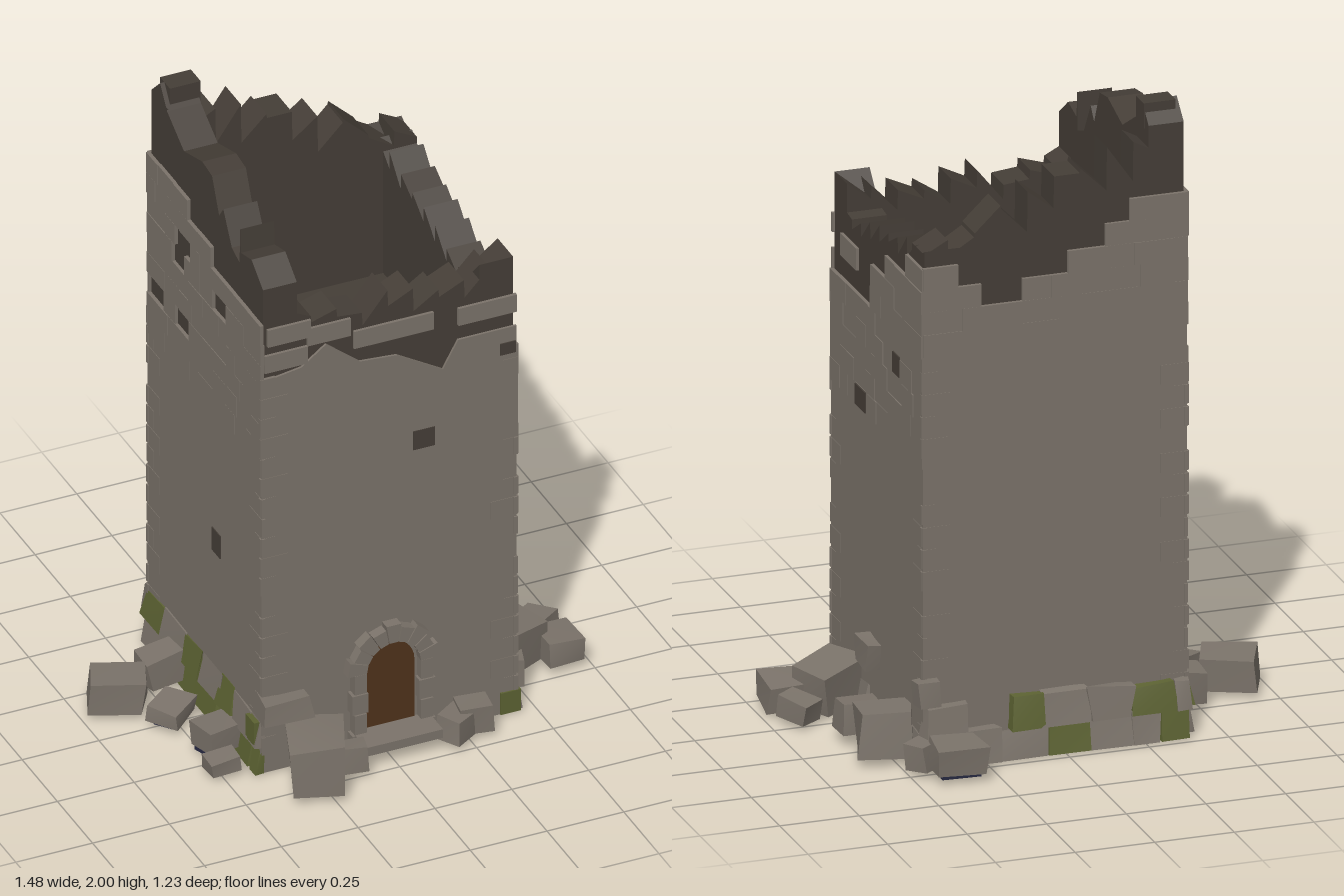
import * as THREE from 'three';

const flat = (name, color) => {
  const m = new THREE.MeshStandardMaterial({ color });
  m.name = name;
  return m;
};

export function createModel() {
  const stone = flat('paleStone', 0x7b736a);
  const dark = flat('darkStone', 0x453e37);
  const moss = flat('moss', 0x5c6232);
  const wood = flat('wood', 0x4f331b);
  const slate = flat('slate', 0x262840);
  const tower = new THREE.Group();
  tower.name = 'ruinedTower';

  let seed = 7;
  const rand = () => (seed = (seed * 16807) % 2147483647) / 2147483647;

  const add = (parent, name, geo, mat, x = 0, y = 0, z = 0) => {
    const m = new THREE.Mesh(geo, mat);
    m.name = name;
    m.position.set(x, y, z);
    parent.add(m);
    return m;
  };
  const box = (parent, name, mat, w, h, d, x, y, z) =>
    add(parent, name, new THREE.BoxGeometry(w, h, d), mat, x, y, z);
  const extrude = (pts, depth) => new THREE.ExtrudeGeometry(
    new THREE.Shape(pts.map(p => new THREE.Vector2(...p))), { depth, bevelEnabled: false });

  // Height along a list of [u, y] points
  const heightAt = (pts, u) => {
    for (let i = 1; i < pts.length; i++) {
      const [a, ya] = pts[i - 1], [b, yb] = pts[i];
      if (u <= b) return ya + (yb - ya) * (u - a) / (b - a);
    }
    return pts[pts.length - 1][1];
  };

  // Broken top: uneven slanted stones along a rough outline
  const teeth = (outline, size, lean) => {
    const u0 = outline[0][0], u1 = outline[outline.length - 1][0], n = 10, pts = [];
    for (let i = 0; i < n; i++) {
      const a = u0 + (u1 - u0) * i / n, b = u0 + (u1 - u0) * (i + 1) / n - 0.002;
      const rise = size * (rand() * 1.6 - 0.4) * lean, lift = size * (rand() - 0.5);
      pts.push([a, heightAt(outline, a) + lift - rise], [b, heightAt(outline, b) + lift + rise]);
    }
    pts[0][1] = outline[0][1];
    pts[pts.length - 1] = outline[outline.length - 1];
    return pts;
  };

  // Box whose corners are nudged, with the outer top edge pulled in
  const rough = (w, h, d, jitter, topBack = 0) => {
    const g = new THREE.BoxGeometry(w, h, d), p = g.attributes.position;
    const nudge = Array.from({ length: 24 }, () => (rand() - 0.5) * 2 * jitter);
    for (let i = 0; i < p.count; i++) {
      const x = p.getX(i), y = p.getY(i), z = p.getZ(i);
      const k = ((x > 0) + 2 * (y > 0) + 4 * (z > 0)) * 3;
      p.setXYZ(i, x + nudge[k] * w, y + (y > 0 ? nudge[k + 1] * h : 0),
        z + nudge[k + 2] * d - (y > 0 && z > 0 ? topBack : 0));
    }
    g.computeVertexNormals();
    return g;
  };

  // One wall, facing local +z: dark core, pale facing up to faceTop, then brick courses up to pale
  const wall = (name, x, z, turn, top, faceTop, pale) => {
    const g = new THREE.Group();
    g.name = name + 'Wall';
    g.position.set(x, 0, z);
    g.rotation.y = turn * Math.PI / 2;
    tower.add(g);
    const u0 = top[0][0], u1 = top[top.length - 1][0], inset = 0.008;
    // The core stops short of the neighbouring facings
    const core = [[u0, 0], [u1, 0], ...top.slice().reverse()]
      .map(([u, y]) => [Math.min(Math.max(u, u0 + inset), u1 - inset), y]);
    add(g, 'brokenCore', extrude(core, 0.11), dark, 0, 0, -0.118);
    add(g, 'facing', extrude([[u0, 0.005], [u1, 0.005], ...faceTop.slice().reverse()], inset), stone, 0, 0, -inset);
    const y0 = faceTop[0][1];
    for (let y = y0; pale && y < 1.8; y += 0.07) {
      for (let u = u0; u < u1 - 0.01;) {
        let len = 0.06 + rand() * 0.08;
        if (u1 - u - len < 0.04) len = u1 - u;
        const fits = y + 0.05 < heightAt(pale, u + len / 2) + (rand() - 0.5) * 0.03;
        if (fits && rand() > 0.03)
          box(g, 'brick', stone, len, 0.07, 0.012, u + len / 2, y + 0.035, -0.004 + rand() * 0.004);
        u += len;
      }
    }
    // Corner stones
    for (let y = 0.1, i = 0; y < y0; y += 0.07, i++) {
      const len = i % 2 ? 0.09 : 0.05;
      if (rand() > 0.35) box(g, 'cornerStone', stone, len, 0.06, 0.012, u0 + len / 2 - 0.005, y, -0.0045);
      if (rand() > 0.35) box(g, 'cornerStone', stone, len, 0.06, 0.012, u1 - len / 2 + 0.005, y, -0.0045);
    }
    return g;
  };

  const front = wall('front', 0, 0.37, 0,
    teeth([[-0.39, 1.69], [-0.28, 1.6], [-0.08, 1.51], [0.03, 1.56], [0.2, 1.52], [0.44, 1.6]], 0.04, 1),
    [[-0.39, 1.38], [-0.26, 1.4], [-0.18, 1.46], [-0.07, 1.37], [0.05, 1.36], [0.2, 1.27], [0.25, 1.36], [0.44, 1.36]]);
  const right = wall('right', 0.44, 0, 1,
    teeth([[-0.37, 1.6], [-0.26, 1.49], [0, 1.53], [0.44, 1.63]], 0.03, 1),
    [[-0.37, 0.945], [0.44, 0.945]],
    [[-0.37, 1.31], [0, 1.31], [0.02, 1.43], [0.1, 1.49], [0.3, 1.51], [0.37, 1.58], [0.44, 1.6]]);
  wall('back', 0, -0.44, 2,
    teeth([[-0.44, 1.62], [-0.22, 1.69], [0, 1.79], [0.28, 1.88], [0.39, 1.94]], 0.06, -1),
    [[-0.44, 1.3], [0.39, 1.3]], [[-0.44, 1.58], [-0.2, 1.47], [0, 1.54], [0.39, 1.78]]);
  const left = wall('left', -0.39, 0, -1,
    [[-0.44, 1.94], [-0.37, 2], [-0.32, 1.93], [-0.2, 1.86], [-0.07, 1.9], [0, 1.89], [0.05, 1.78], [0.08, 1.82],
      [0.14, 1.72], [0.195, 1.7], [0.2, 1.82], [0.205, 1.74], [0.28, 1.76], [0.37, 1.7]],
    [[-0.44, 1.09], [0.37, 1.09]], [[-0.44, 1.78], [0.37, 1.54]]);
  // Tall stub at the highest corner
  box(tower, 'cornerStub', dark, 0.1, 0.08, 0.07, -0.318, 1.96, -0.365);

  // Loose facing bricks near the broken top: centre, width, bottom
  for (const [u, w, y] of [[-0.31, 0.14, 1.41], [-0.3, 0.14, 1.5], [0.04, 0.26, 1.42], [0.345, 0.19, 1.41], [-0.17, 0.14, 1.47]])
    box(front, 'looseBrick', stone, w, 0.06, 0.012, u, y + 0.03, -0.004);
  box(right, 'looseBrick', stone, 0.14, 0.07, 0.012, -0.215, 1.4, -0.004);
  // Small openings and missing bricks
  box(front, 'window', dark, 0.07, 0.065, 0.006, 0.138, 1.045, 0);
  box(front, 'missingBrick', dark, 0.05, 0.04, 0.006, 0.41, 1.29, 0.001);
  box(left, 'window', dark, 0.06, 0.08, 0.006, 0.05, 0.63, 0);
  for (const [u, w, y] of [[-0.095, 0.09, 0.98], [0.22, 0.06, 1.2]])
    box(right, 'missingBrick', dark, w, 0.065, 0.006, u, y, 0.005);

  // Upper floor and pale lower lining
  box(tower, 'floor', dark, 0.62, 0.04, 0.62, 0.025, 1.15, -0.035);
  box(tower, 'innerLining', stone, 0.008, 1.12, 0.58, -0.27, 0.565, -0.04);

  // Arched door with surround, jambs, arch stones and step
  const archPlate = (name, mat, half, z, depth) => {
    const s = new THREE.Shape();
    s.moveTo(-half, 0.005).lineTo(half, 0.005).lineTo(half, 0.285);
    s.absarc(0, 0.285, half, 0, Math.PI).lineTo(-half, 0.005);
    add(tower, name, new THREE.ExtrudeGeometry(s, { depth, bevelEnabled: false, curveSegments: 8 }), mat, 0.025, 0, z);
  };
  archPlate('door', wood, 0.078, 0.245, 0.133);
  archPlate('doorSurround', stone, 0.092, 0.362, 0.012);
  for (const s of [-1, 1]) for (let i = 0; i < 4; i++)
    box(tower, 'jambStone', stone, i % 2 ? 0.04 : 0.052, 0.066, 0.05, 0.025 + s * (i % 2 ? 0.108 : 0.109), 0.045 + i * 0.07, 0.38);
  for (let i = 0; i < 9; i++) {
    const a = (i + 0.04) * Math.PI / 9, b = (i + 0.96) * Math.PI / 9, r = i % 2 ? 0.138 : 0.15;
    const at = (q, t) => [q * Math.cos(t), q * Math.sin(t)];
    add(tower, 'archStone', extrude([at(0.088, a), at(r, a), at(r, b), at(0.088, b)], 0.05), stone, 0.025, 0.287, 0.355);
  }
  box(tower, 'doorStep', stone, 0.25, 0.03, 0.11, 0.025, 0.065, 0.425);
  for (const s of [-1, 1]) box(tower, 'lowerStep', stone, 0.06, 0.04, 0.04, 0.025 + s * 0.115, 0.03, 0.39);

  // Mossy footing stones: wall, start, end, rows, depth, share of moss, share kept
  for (const [side, u0, u1, rows, depth, green, keep] of [
    ['back', -0.44, 0.39, 2, 0.05, 0.3, 0.95], ['left', -0.44, 0.37, 2, 0.03, 0.6, 0.9], ['right', -0.37, 0.44, 1, 0.03, 0.35, 0.6]]) {
    const parent = tower.getObjectByName(side + 'Wall');
    for (let r = 0; r < rows; r++) {
      for (let u = u0; u < u1 - 0.03;) {
        const len = Math.min(0.09 + rand() * 0.06, u1 - u), h = 0.085 + rand() * 0.02;
        if (rand() < keep)
          add(parent, 'footingStone', rough(len, h, depth, 0.1, 0.018), rand() < green ? moss : stone,
            u + len / 2, h / 2 + 0.005 + r * 0.09, depth / 2 - 0.008);
        u += len;
      }
    }
  }
  box(tower, 'mossPatch', moss, 0.065, 0.075, 0.085, 0.418, 0.043, 0.334);
  box(tower, 'mossPatch', moss, 0.03, 0.08, 0.06, -0.395, 0.14, 0.33);

  // Fallen rubble, gently tilted, some lying on a slate chip
  const rubble = (x, z, size, h, deg, y = 0.02, chip = false) => {
    const m = add(tower, 'rubbleStone', rough(size, h, size * 0.8, 0.08), stone, x, y + h / 2, z);
    m.rotation.set((rand() - 0.5) * 0.2, deg * Math.PI / 180, (rand() - 0.5) * 0.2);
    if (chip) box(tower, 'slateChip', slate, size * 0.8, 0.015, size * 0.6, x, y - 0.008, z).rotation.y = m.rotation.y;
  };
  // Left side
  rubble(-0.63, -0.13, 0.16, 0.1, -25);
  rubble(-0.515, 0.005, 0.12, 0.05, 38, 0.03, true);
  rubble(-0.46, 0.2, 0.13, 0.08, 20, 0.03, true);
  rubble(-0.495, 0.32, 0.09, 0.05, 0);
  rubble(-0.46, -0.2, 0.12, 0.1, 5);
  // Front
  rubble(-0.26, 0.48, 0.2, 0.16, 70);
  rubble(-0.145, 0.47, 0.09, 0.08, -10);
  rubble(-0.325, 0.365, 0.15, 0.07, 0, 0.2);
  rubble(0.21, 0.44, 0.1, 0.08, 35);
  rubble(0.28, 0.42, 0.1, 0.09, -8);
  // Right side
  rubble(0.52, -0.325, 0.16, 0.15, -15);
  rubble(0.55, -0.16, 0.12, 0.09, 0, 0.04);
  rubble(0.53, 0.13, 0.19, 0.13, 28);
  rubble(0.665, 0.025, 0.1, 0.07, -55);
  rubble(0.67, 0.165, 0.14, 0.08, 86);
  rubble(0.475, 0.23, 0.09, 0.09, -20);
  rubble(0.445, -0.015, 0.1, 0.08, 90, 0.18);
  // Back
  rubble(0.37, -0.55, 0.15, 0.08, -3, 0.03, true);
  rubble(0.45, -0.48, 0.09, 0.08, 35);
  rubble(0.43, -0.45, 0.07, 0.08, 0, 0.2);
  return tower;
}
